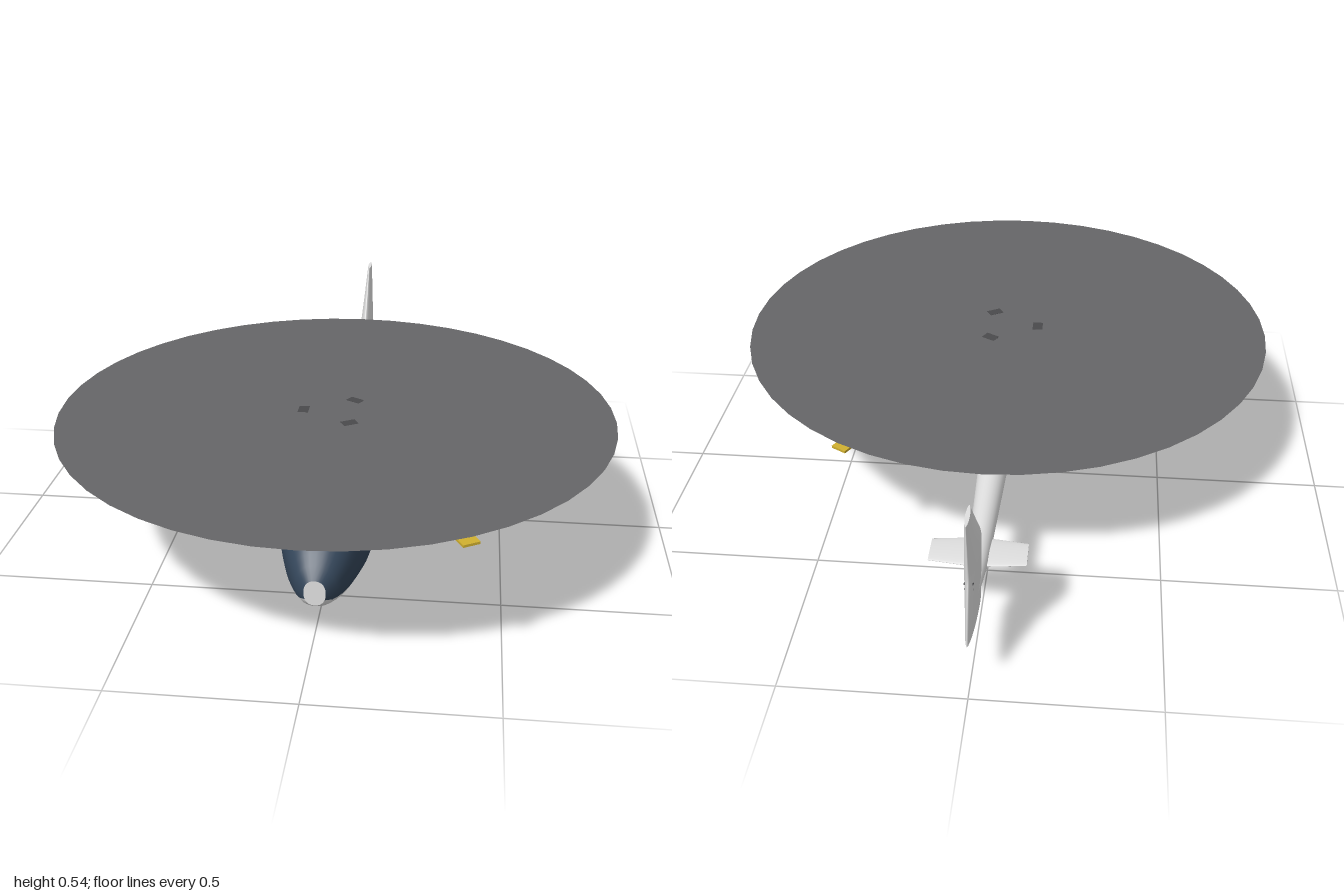
import * as THREE from 'three';

const mat = (name, color, side = THREE.FrontSide) => {
  const m = new THREE.MeshStandardMaterial({ color, side });
  m.name = name;
  return m;
};
const EXP = 2.3; // squareness of the fuselage cross-section

// Smooth interpolation through rows [z, a, b, ...] sorted by falling z
function sample(rows, z) {
  let i = 0;
  while (i < rows.length - 2 && z < rows[i + 1][0]) i++;
  const p = rows[Math.max(i - 1, 0)], a = rows[i], b = rows[i + 1], c = rows[Math.min(i + 2, rows.length - 1)];
  const d = b[0] - a[0], t = (z - a[0]) / d;
  return a.map((_, k) => {
    if (k === 0) return z;
    const m0 = d * (b[k] - p[k]) / (b[0] - p[0]), m1 = d * (c[k] - a[k]) / (c[0] - a[0]);
    return (2 * t ** 3 - 3 * t * t + 1) * a[k] + (t ** 3 - 2 * t * t + t) * m0
      + (3 * t * t - 2 * t ** 3) * b[k] + (t ** 3 - t * t) * m1;
  });
}

// Closed skin through rows [z, middle y, half width, top y, bottom y, split y];
// isGlass marks skin faces above the split line for the second material
function loft(rows, { exp = 2, low = 6, high = 20, isGlass = () => false } = {}) {
  const n = low * 2 + high, pos = [], white = [], glass = [];
  const ring = ([z, cy, w, top, bottom, split]) => {
    const s = split === undefined ? 0.6
      : Math.min(0.97, Math.max(0.1, (cy - split) / (cy - bottom))) ** (exp / 2);
    const t0 = -Math.asin(s), pw = v => Math.sign(v) * Math.abs(v) ** (2 / exp);
    for (let j = 0; j < n; j++) {
      let t;
      if (j < low) t = -Math.PI / 2 + (t0 + Math.PI / 2) * j / low;
      else if (j <= low + high) t = t0 + (Math.PI - 2 * t0) * (j - low) / high;
      else t = Math.PI - t0 + (Math.PI / 2 + t0) * (j - low - high) / low;
      const y = pw(Math.sin(t));
      pos.push(w * pw(Math.cos(t)), cy + y * (y > 0 ? top - cy : cy - bottom), z);
    }
  };
  rows.forEach(ring);
  for (let i = 0; i < rows.length - 1; i++) {
    for (let j = 0; j < n; j++) {
      const a = i * n + j, b = i * n + (j + 1) % n;
      const list = j >= low && j < low + high && isGlass(rows[i + 1][0]) ? glass : white;
      list.push(a, a + n, b, b, a + n, b + n);
    }
  }
  // end caps with their own vertices, so the rims stay sharp
  [rows[0], rows[rows.length - 1]].forEach((r, e) => {
    const base = pos.length / 3;
    ring(r);
    pos.push(0, r[1], r[0]);
    for (let j = 0; j < n; j++) {
      const a = base + j, b = base + (j + 1) % n;
      white.push(base + n, ...(e ? [b, a] : [a, b]));
    }
  });
  const g = new THREE.BufferGeometry();
  g.setAttribute('position', new THREE.Float32BufferAttribute(pos, 3));
  g.setIndex([...white, ...glass]);
  g.addGroup(0, white.length, 0);
  if (glass.length) g.addGroup(white.length, glass.length, 1);
  g.computeVertexNormals();
  return g;
}

const BODY = [
  [0.695, 0.128, 0.03, 0.165, 0.09, 0.108],
  [0.67, 0.14, 0.056, 0.2, 0.072, 0.097],
  [0.6, 0.165, 0.092, 0.264, 0.042, 0.086],
  [0.5, 0.185, 0.121, 0.326, 0.017, 0.085],
  [0.42, 0.19, 0.136, 0.352, 0.006, 0.085],
  [0.25, 0.19, 0.145, 0.362, 0, 0.085],
  [0.1, 0.192, 0.144, 0.36, 0.013, 0.085],
  [0, 0.198, 0.135, 0.352, 0.042, 0.095],
  [-0.1, 0.212, 0.112, 0.335, 0.088, 0.125],
  [-0.16, 0.23, 0.085, 0.318, 0.135, 0.165],
  [-0.185, 0.24, 0.066, 0.303, 0.178, 0.2],
];

// Curved plate lying just outside the fuselage side
function sidePlate(z0, z1, y0, y1, side, lift) {
  const g = new THREE.PlaneGeometry(1, 1, 8, 8), p = g.attributes.position;
  for (let i = 0; i < p.count; i++) {
    const z = z0 + (z1 - z0) * (0.5 + side * p.getX(i));
    const y = y0 + (y1 - y0) * (p.getY(i) + 0.5);
    const [, cy, w, top, bottom] = sample(BODY, z);
    const k = Math.abs((y - cy) / (y > cy ? top - cy : cy - bottom));
    p.setXYZ(i, side * (w * Math.max(0, 1 - k ** EXP) ** (1 / EXP) + lift), y, z);
  }
  g.computeVertexNormals();
  return g;
}

export function createModel() {
  const model = new THREE.Group();
  model.name = 'helicopter';
  const white = mat('white paint', 0xe0e0e0);
  const glass = mat('dark blue glass', 0x34465a);
  const disc = mat('rotor grey', 0x666668, THREE.DoubleSide);
  const blade = mat('blade grey', 0x4a4a4c);
  const yellow = mat('yellow tip', 0xd0b030);
  const add = (name, geo, m, parent = model) => {
    const mesh = new THREE.Mesh(geo, m);
    mesh.name = name;
    parent.add(mesh);
    return mesh;
  };

  // Fuselage with the windscreen as part of its skin
  const zs = [];
  for (let i = 0; i < 12; i++) zs.push(0.695 - 0.275 * i / 12);
  for (let i = 0; i <= 20; i++) zs.push(0.42 - 0.605 * i / 20);
  add('fuselage', loft(zs.map(z => sample(BODY, z)), { exp: EXP, isGlass: z => z > 0.4199 }), [white, glass]);

  // Side windows and rear access panels
  for (const s of [1, -1]) {
    add('sideWindow', sidePlate(0.36, 0.225, 0.16, 0.295, s, 0.003), glass);
    add('accessPanel', sidePlate(0.15, 0.02, 0.092, 0.268, s, 0.002), white);
  }

  // Engine cowling on the roof
  const COWL = [
    [0.33, 0.353, 0.02, 0.36, 0.33], [0.27, 0.35, 0.05, 0.37, 0.32],
    [0.2, 0.346, 0.073, 0.382, 0.31], [0.1, 0.342, 0.085, 0.39, 0.3],
    [0, 0.339, 0.086, 0.389, 0.3], [-0.1, 0.336, 0.077, 0.376, 0.305],
    [-0.18, 0.332, 0.058, 0.356, 0.307], [-0.205, 0.33, 0.045, 0.348, 0.311],
    [-0.215, 0.33, 0.034, 0.342, 0.318],
  ];
  const cowlRows = [];
  for (let i = 0; i <= 24; i++) cowlRows.push(sample(COWL, 0.33 - 0.545 * i / 24));
  add('engineCowling', loft(cowlRows), white);

  // Tail boom, ending in a cone inside the fin
  add('tailBoom', loft([
    [-0.17, 0.239, 0.048, 0.288, 0.19], [-0.75, 0.242, 0.029, 0.274, 0.212],
    [-0.85, 0.248, 0.02, 0.268, 0.228], [-0.955, 0.252, 0.008, 0.274, 0.23],
  ]), white);

  // Fin: stations run downwards, chord along z
  const fin = loft([
    [0.54, 0.935, 0.006, 0.978, 0.892], [0.455, 0.895, 0.013, 0.967, 0.82],
    [0.37, 0.83, 0.02, 0.957, 0.748], [0.345, 0.83, 0.02, 0.961, 0.748],
    [0.18, 0.83, 0.016, 1.0, 0.748],
  ], { exp: 1.7 });
  add('fin', fin.rotateX(-Math.PI / 2), white);

  // Small slats on both faces of the fin
  for (const s of [1, -1]) {
    for (const [y, z] of [[0.325, -0.925], [0.3, -0.915]]) {
      const slat = add('finSlat', new THREE.BoxGeometry(0.006, 0.005, 0.04), blade);
      slat.position.set(s * 0.009, y, z);
      slat.rotation.x = 0.5;
    }
  }

  // Tailplane: stations run across x, thickness along y
  const plane = [[0.13, 0.045, 0.003], [0.03, 0.057, 0.007], [-0.03, 0.057, 0.007], [-0.13, 0.045, 0.003]]
    .map(([x, half, t]) => [x, 0.245, half, 0.245 + t, 0.245 - t]);
  add('tailplane', loft(plane).rotateY(Math.PI / 2).translate(0, 0, -0.712), white);

  // Main rotor: spinning disc and three drooping blades with yellow tips
  const rotor = new THREE.Group();
  rotor.name = 'mainRotor';
  rotor.position.set(0, 0.435, 0.185);
  model.add(rotor);
  add('rotorDisc', new THREE.CircleGeometry(0.81, 48).rotateX(-Math.PI / 2), disc, rotor);
  for (let i = 0; i < 3; i++) {
    const arm = new THREE.Group();
    arm.name = 'rotorBlade';
    arm.rotation.set(0, Math.PI + i * Math.PI * 2 / 3, -0.027, 'YXZ');
    rotor.add(arm);
    add('blade', new THREE.BoxGeometry(0.68, 0.006, 0.045).translate(0.42, 0, 0), blade, arm);
    add('bladeTip', new THREE.BoxGeometry(0.05, 0.007, 0.047).translate(0.785, 0, 0), yellow, arm);
  }
  return model;
}
